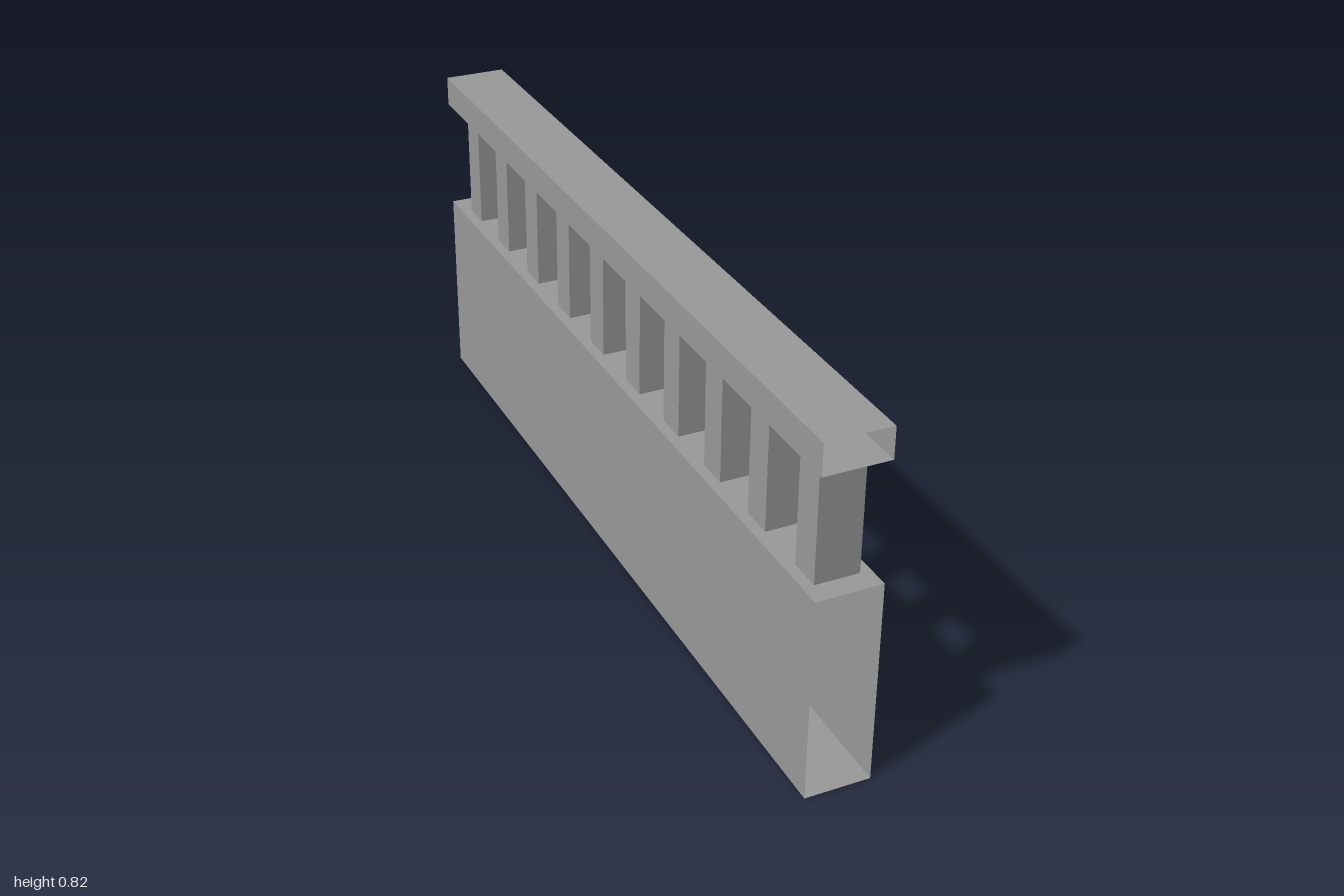
import * as THREE from 'three';

const material = new THREE.MeshStandardMaterial({
  color: 0x999999, flatShading: true, side: THREE.DoubleSide,
});

// Square sleeve without end caps, running along y or z
function sleeve(name, w, h, d, axis) {
  let g = new THREE.CylinderGeometry(Math.SQRT1_2, Math.SQRT1_2, 1, 4, 1, true);
  g.rotateY(Math.PI / 4);
  if (axis === 'z') g.rotateX(Math.PI / 2);
  g.scale(w, h, d);
  g = g.toNonIndexed();
  g.computeVertexNormals();
  const mesh = new THREE.Mesh(g, material);
  mesh.name = name;
  return mesh;
}

export function createModel() {
  const model = new THREE.Group();
  model.name = 'balustrade';

  const width = 0.15, length = 2;
  const baseTop = 0.475, railBottom = 0.75, railTop = 0.822;

  // Low wall, open at both ends
  const base = sleeve('baseWall', width, baseTop, length, 'z');
  base.position.y = baseTop / 2;
  model.add(base);

  // Handrail, open at both ends
  const rail = sleeve('handrail', width, railTop - railBottom, length, 'z');
  rail.position.y = (railBottom + railTop) / 2;
  model.add(rail);

  // Row of ten evenly spaced balusters
  const balusters = new THREE.Group();
  balusters.name = 'balusters';
  for (let i = 0; i < 10; i++) {
    const post = sleeve('baluster', 0.1, railBottom - baseTop, 0.075, 'y');
    post.position.set(0, (baseTop + railBottom) / 2, 0.9125 - i * 0.2);
    balusters.add(post);
  }
  model.add(balusters);

  return model;
}
